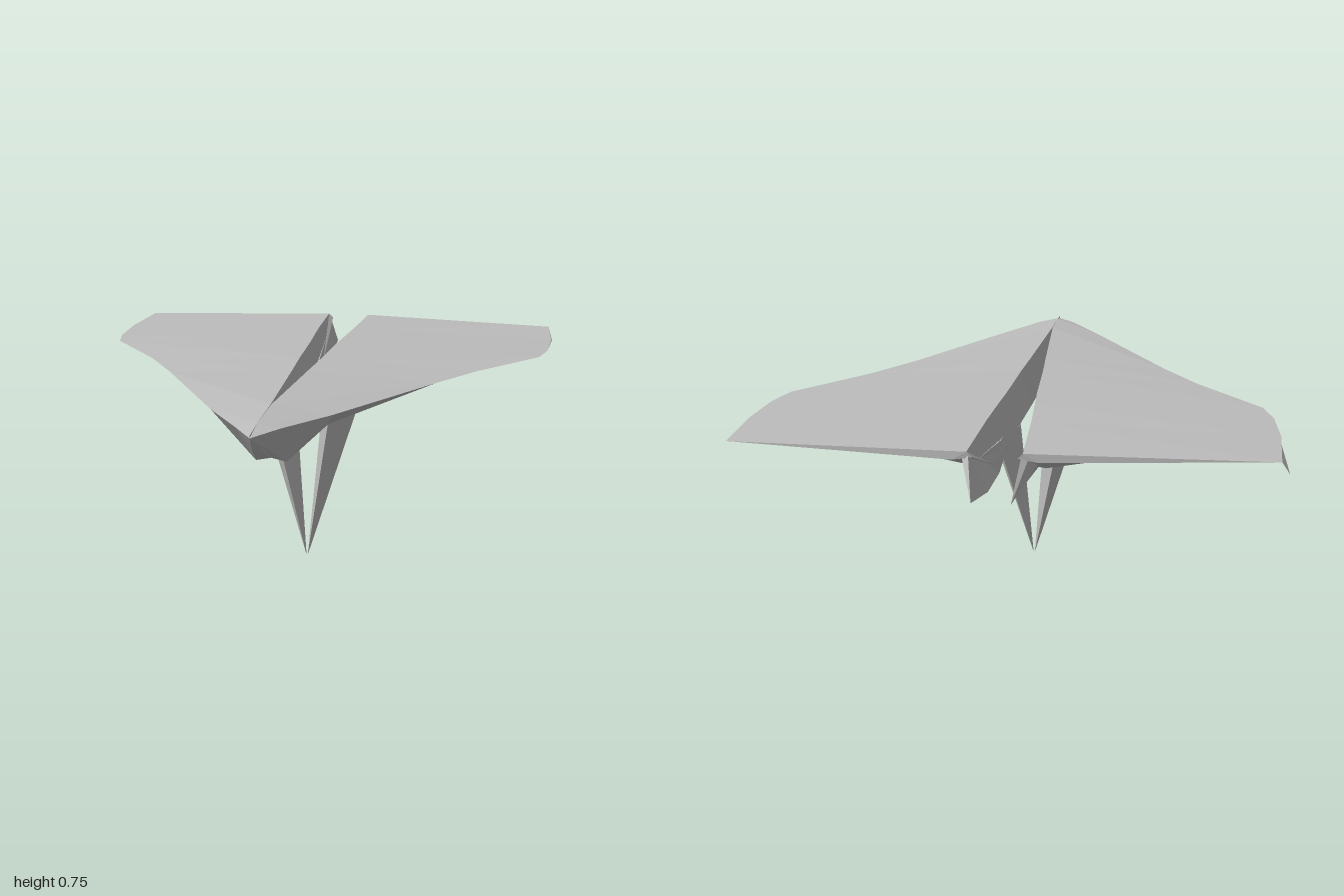
import * as THREE from 'three';
import { ConvexGeometry } from 'three/addons/geometries/ConvexGeometry.js';

const paper = new THREE.MeshStandardMaterial({ color: 0xbcbcbc, flatShading: true, side: THREE.DoubleSide });
paper.name = 'grey paper';

// Joins rings of [x, y, z] points, ordered nose to tail, and caps the tail; side -1 mirrors in x
function loft(rings, side) {
  const pos = [];
  const tri = (a, b, c) => {
    for (const p of side > 0 ? [a, b, c] : [a, c, b]) pos.push(p[0] * side, p[1], p[2]);
  };
  for (let i = 0; i < rings.length - 1; i++) {
    const f = rings[i], b = rings[i + 1], n = f.length;
    for (let j = 0; j < n; j++) {
      const k = (j + 1) % n;
      tri(f[j], b[j], f[k]);
      tri(f[k], b[j], b[k]);
    }
  }
  const end = rings[rings.length - 1];
  for (let j = 1; j < end.length - 1; j++) tri(end[0], end[j + 1], end[j]);
  const g = new THREE.BufferGeometry();
  g.setAttribute('position', new THREE.Float32BufferAttribute(pos, 3));
  g.computeVertexNormals();
  return g;
}

// Wing stations: z, inner x, top y, belly x, belly y, outer x, outer y, inner z shift
const stations = [
  [1.0, 0, 0.72, 0, 0.718, 0.001, 0.72, 0],
  [0.9, 0, 0.738, 0.02, 0.665, 0.07, 0.725, 0],
  [0.7, 0.001, 0.745, 0.05, 0.56, 0.195, 0.72, 0],
  [0.2, 0.028, 0.742, 0.1, 0.55, 0.475, 0.715, 0],
  [0.0, 0.04, 0.741, 0.11, 0.55, 0.6, 0.715, 0],
  [-0.28, 0.052, 0.74, 0.11, 0.552, 0.82, 0.715, 0],
  [-0.4, 0.06, 0.739, 0.11, 0.56, 0.85, 0.715, 0],
  [-0.6, 0.072, 0.737, 0.12, 0.58, 0.862, 0.716, 0],
  [-0.86, 0.085, 0.732, 0.13, 0.705, 0.85, 0.718, -0.055],
];
const wingRings = stations.map(([z, xi, yt, xb, yb, xo, yo, dz]) => [
  [xi, yt, z + dz],
  [xi * 0.8, yb + 0.01, z + dz],
  [xb, yb, z + dz],
  [xo, yo, z],
]);

// Folded keel: inner top, lower edge, outer top
const keelRings = [
  [[0.08, 0.57, 0.15], [0.09, 0.55, 0.15], [0.1, 0.57, 0.15]],
  [[0.05, 0.6, -0.11], [0.08, 0.47, -0.11], [0.12, 0.57, -0.11]],
  [[0.05, 0.62, -0.45], [0.055, 0.505, -0.45], [0.12, 0.59, -0.45]],
  [[0.07, 0.66, -0.75], [0.048, 0.545, -0.75], [0.12, 0.66, -0.75]],
  [[0.08, 0.72, -0.915], [0.06, 0.6, -1], [0.1, 0.71, -0.91]],
];

// Spike half: front, outer, back and inner corners, then the point
const spikePoints = [
  [0.1, 0.565, 0.2], [0.18, 0.575, 0.03], [0.1, 0.47, -0.11], [0.045, 0.53, 0.03], [0.002, 0, 0.075],
];

export function createModel() {
  const model = new THREE.Group();
  model.name = 'foldedGlider';
  const add = (name, geometry) => {
    const mesh = new THREE.Mesh(geometry, paper);
    mesh.name = name;
    model.add(mesh);
  };
  for (const side of [1, -1]) {
    const label = side > 0 ? 'left' : 'right';
    add(label + 'Wing', loft(wingRings, side));
    add(label + 'Keel', loft(keelRings, side));
    add(label + 'Spike', new ConvexGeometry(spikePoints.map(([x, y, z]) => new THREE.Vector3(x * side, y, z))));

    // Small bent lip along the wing tip
    const [lipX, lipY, lipZ] = side > 0 ? [0.866, 0.703, -0.66] : [0.873, 0.69, -0.885];
    const lip = new THREE.BufferGeometry().setFromPoints(
      [[0.85, 0.715, -0.4], [lipX, lipY, lipZ], [0.85, 0.718, -0.86]]
        .map(([x, y, z]) => new THREE.Vector3(x * side, y, z)));
    if (side > 0) lip.setIndex([0, 1, 2]); else lip.setIndex([0, 2, 1]);
    lip.computeVertexNormals();
    add(label + 'TipLip', lip);
  }
  return model;
}
